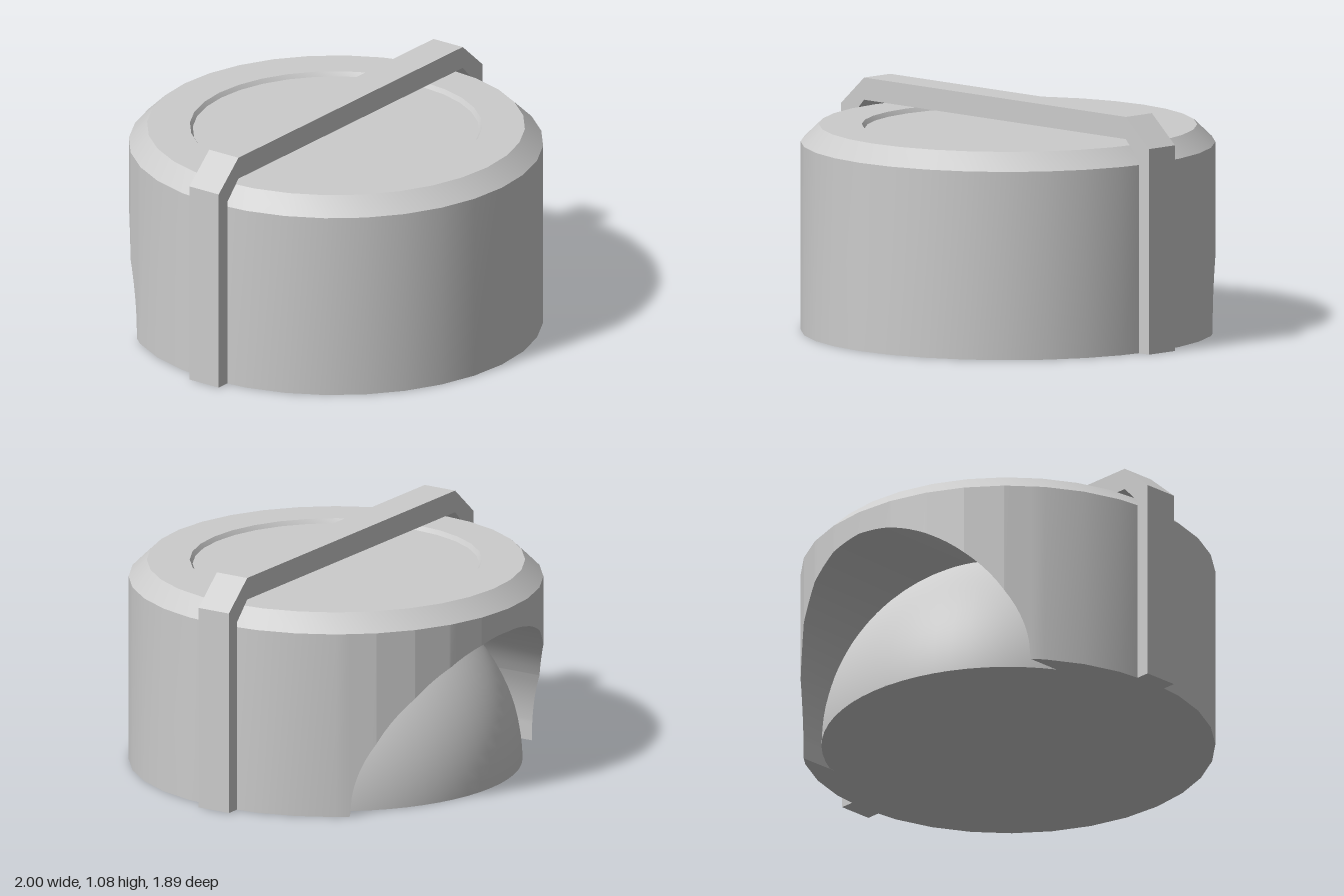
import * as THREE from 'three';
import { toCreasedNormals } from 'three/addons/utils/BufferGeometryUtils.js';

const SIDES = 32, R = 0.943, SHOULDER = 0.865;   // body
const ARCH_R = 0.742, ARCH_Y = 0.015, ARCH_Z = -0.38; // rear opening
const DOME_R = 0.848;

// point on the 32-sided outline at angle a (0 = front, growing toward +x)
function rim(a) {
  const step = (2 * Math.PI) / SIDES;
  const k = Math.floor(a / step + 1e-6);
  const d = R * Math.cos(step / 2) / Math.cos(a - (k + 0.5) * step);
  return { x: d * Math.sin(a), z: d * Math.cos(a) };
}

// wall columns: outline corners plus finer steps along the arch
function makeColumns() {
  const angles = [];
  for (let i = 0; i < SIDES; i++) angles.push((i * 2 * Math.PI) / SIDES);
  const add = (x) => angles.push(Math.PI - Math.asin(x / R));
  for (let i = 0; i <= 48; i++) add(ARCH_R * Math.cos((i * Math.PI) / 48));
  add(ARCH_R * 1.006);
  add(-ARCH_R * 1.006);
  angles.sort((a, b) => a - b);
  const unique = angles.filter((a, i) => i === 0 || a - angles[i - 1] > 1e-4);
  return unique.map((a) => {
    const p = rim(a);
    const open = p.z < 0 && Math.abs(p.x) < ARCH_R;
    return { ...p, y: open ? ARCH_Y + Math.sqrt(ARCH_R ** 2 - p.x ** 2) : 0 };
  });
}

// strip of quads between two rows of points
function strip(lower, upper, closed) {
  const n = lower.length, pos = [], index = [];
  for (let i = 0; i < n; i++) pos.push(...lower[i], ...upper[i]);
  for (let i = 0; i < (closed ? n : n - 1); i++) {
    const a = 2 * i, b = 2 * ((i + 1) % n);
    index.push(a, b, b + 1, a, b + 1, a + 1);
  }
  const g = new THREE.BufferGeometry();
  g.setAttribute('position', new THREE.Float32BufferAttribute(pos, 3));
  g.setIndex(index);
  g.computeVertexNormals();
  return g;
}

export function createModel() {
  const model = new THREE.Group();
  model.name = 'domedCanister';
  const solid = new THREE.MeshStandardMaterial({ color: 0xcccccc });
  const thin = new THREE.MeshStandardMaterial({ color: 0xcccccc, side: THREE.DoubleSide });
  const add = (name, geometry, material = solid) => {
    const mesh = new THREE.Mesh(geometry, material);
    mesh.name = name;
    model.add(mesh);
    return mesh;
  };

  // outer wall with the arched opening at the back
  const columns = makeColumns();
  add('bodyWall', strip(
    columns.map((c) => [c.x, c.y, c.z]),
    columns.map((c) => [c.x, SHOULDER, c.z]), true), thin);

  // arched passage running in from the opening to the dome
  const first = columns.findIndex((c) => c.y > 0);
  const last = columns.findLastIndex((c) => c.y > 0);
  const arch = columns.slice(first - 1, last + 2);
  add('archLining', strip(
    arch.map((c) => [c.x, c.y, ARCH_Z]),
    arch.map((c) => [c.x, c.y, c.z]), false), thin);

  // chamfered lid with a shallow round recess
  const lid = [[R, SHOULDER], [0.86, 0.945], [0.665, 0.945], [0.652, 0.925], [0, 0.925]]
    .map(([x, y]) => new THREE.Vector2(x, y));
  add('lid', toCreasedNormals(new THREE.LatheGeometry(lid, SIDES), 0.4));

  // underside, notched where the opening is
  const outline = [
    ...columns.slice(0, first).map((c) => [c.x, c.z]),
    [ARCH_R, ARCH_Z], [-ARCH_R, ARCH_Z],
    ...columns.slice(last + 1).map((c) => [c.x, c.z]),
  ].map(([x, z]) => new THREE.Vector2(x, z));
  add('underside', new THREE.ShapeGeometry(new THREE.Shape(outline)).rotateX(Math.PI / 2));

  // inner dome and its flat base
  add('dome', new THREE.SphereGeometry(DOME_R, 64, 24, 0, 2 * Math.PI, 0, Math.PI / 2));
  add('domeBase', new THREE.CircleGeometry(DOME_R, 64).rotateX(Math.PI / 2)).position.y = 0.002;

  // strap over the top and down both sides
  const half = [[1, 0], [1, 0.945], [0.85, 1.077]];
  const inner = [[0.85, 0.975], [0.932, 0.89], [0.932, 0]];
  const mirror = (pts) => pts.map(([x, y]) => [-x, y]).reverse();
  const strap = new THREE.Shape(
    [...half, ...mirror(half), ...mirror(inner), ...inner].map(([x, y]) => new THREE.Vector2(x, y)));
  add('strap', new THREE.ExtrudeGeometry(strap, { depth: 0.166, bevelEnabled: false })
    .translate(0, 0, -0.083));

  return model;
}
